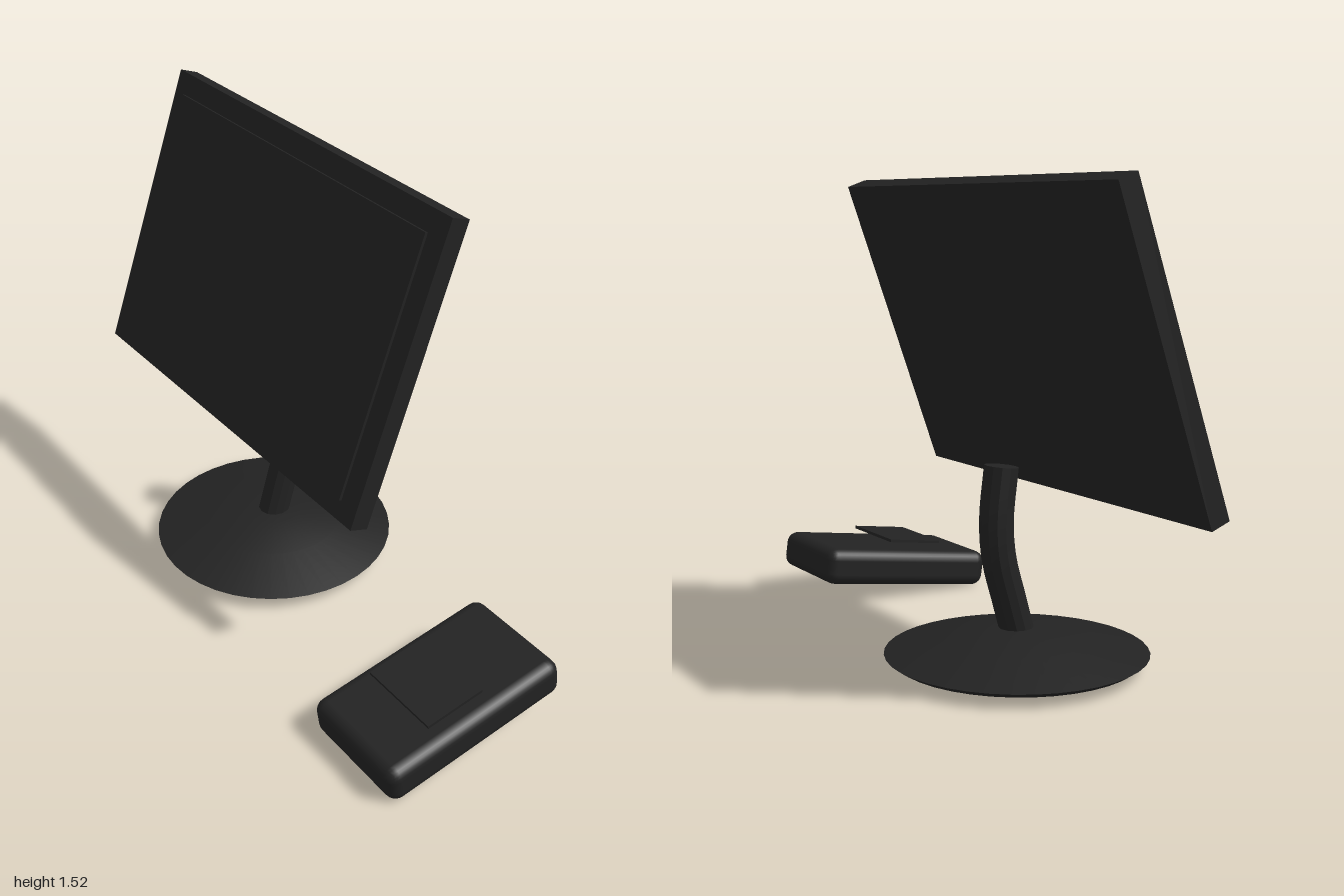
import * as THREE from 'three';
import { toCreasedNormals } from 'three/addons/utils/BufferGeometryUtils.js';
import { RoundedBoxGeometry } from 'three/addons/geometries/RoundedBoxGeometry.js';

const black = new THREE.MeshStandardMaterial({ color: 0x222222 });
black.name = 'black plastic';

function add(parent, name, geometry, x = 0, y = 0, z = 0) {
  const mesh = new THREE.Mesh(geometry, black);
  mesh.name = name;
  mesh.position.set(x, y, z);
  parent.add(mesh);
  return mesh;
}

function addGroup(parent, name, x, y, z, tiltDegrees) {
  const group = new THREE.Group();
  group.name = name;
  group.position.set(x, y, z);
  group.rotation.x = THREE.MathUtils.degToRad(tiltDegrees);
  parent.add(group);
  return group;
}

export function createModel() {
  const model = new THREE.Group();
  model.name = 'monitorAndMouse';
  const standX = -0.268;

  // Display leaning back, with a thin screen panel just in front
  const display = addGroup(model, 'display', standX, 1.04, -0.013, -19.8);
  add(display, 'displayCase', new THREE.BoxGeometry(1.464, 1.01, 0.068));
  add(display, 'screen', new THREE.BoxGeometry(1.325, 0.872, 0.01), 0, -0.002, 0.045);

  // Shallow domed foot
  const footProfile = [[0, 0.032], [0.395, 0.032], [0.42, 0.049], [0.24, 0.1], [0.1, 0.128], [0, 0.128]]
    .map(([r, y]) => new THREE.Vector2(r, y));
  add(model, 'foot', toCreasedNormals(new THREE.LatheGeometry(footProfile, 40), 0.4), standX, 0, -0.02);

  // Curved faceted neck with closed ends
  const neckPath = new THREE.CatmullRomCurve3(
    [[0.1, -0.015], [0.22, -0.05], [0.36, -0.089], [0.48, -0.098], [0.647, -0.08]]
      .map(([y, z]) => new THREE.Vector3(0, y, z)));
  const neckRadius = 0.054, neckSides = 12;
  const tube = new THREE.TubeGeometry(neckPath, 12, neckRadius, neckSides);
  add(model, 'neck', toCreasedNormals(tube, 0.45), standX);
  for (const [name, t, sign] of [['neckTop', 1, 1], ['neckBottom', 0, -1]]) {
    const p = neckPath.getPointAt(t);
    const cap = add(model, name, new THREE.CircleGeometry(neckRadius, neckSides), standX, p.y, p.z);
    cap.quaternion.setFromUnitVectors(
      new THREE.Vector3(0, 0, 1), neckPath.getTangentAt(t).multiplyScalar(sign));
  }

  // Mouse: tilted rounded block with a raised plate above it
  const mouse = addGroup(model, 'mouse', 0.803, 0.11, 0.1, 8.2);
  add(mouse, 'mouseBody', new RoundedBoxGeometry(0.394, 0.13, 0.67, 3, 0.04));
  add(mouse, 'mousePlate', new THREE.BoxGeometry(0.28, 0.01, 0.21), 0, 0.093, 0.04);

  return model;
}
